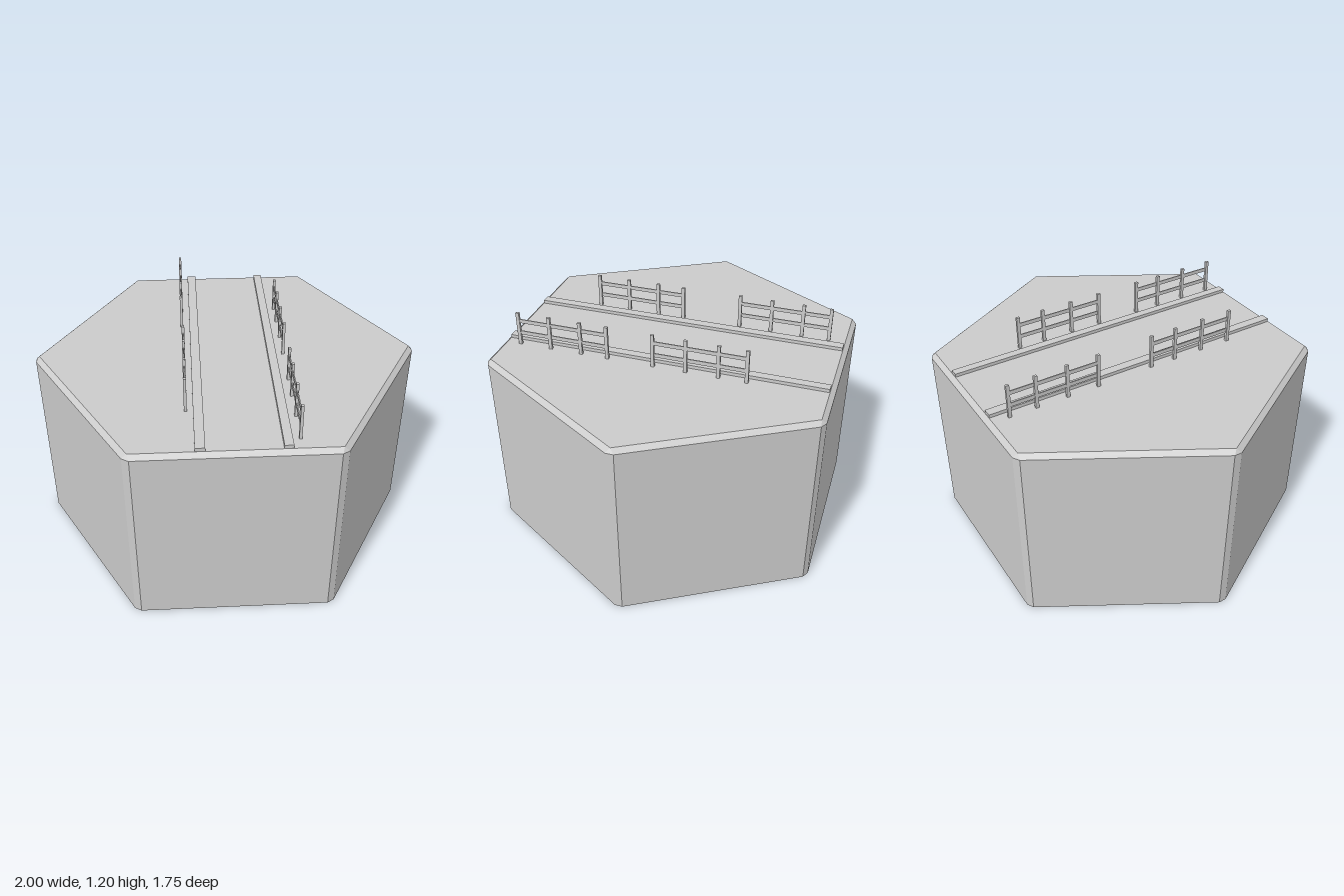
import * as THREE from 'three';

const material = new THREE.MeshStandardMaterial({ color: 0xcccccc, flatShading: true });

// Hexagonal ring of 12 points; spread is half the width of each cut corner
function hexRing(radius, spread, y) {
  const points = [];
  for (let i = 0; i < 6; i++) {
    const a = (i * Math.PI) / 3, c = Math.cos(a), s = Math.sin(a);
    for (const t of [-spread, spread]) {
      points.push([radius * c - t * s, y, radius * s + t * c]);
    }
  }
  return points;
}

// Skin between stacked rings, capped at both ends
function loft(rings) {
  const pos = [], n = rings[0].length;
  const tri = (a, b, c) => pos.push(...a, ...b, ...c);
  const last = rings[rings.length - 1];
  for (let i = 0; i < n; i++) {
    const j = (i + 1) % n;
    for (let k = 0; k < rings.length - 1; k++) {
      const lo = rings[k], hi = rings[k + 1];
      tri(lo[i], hi[i], lo[j]);
      if (hi[i].some((v, m) => Math.abs(v - hi[j][m]) > 1e-6)) tri(lo[j], hi[i], hi[j]);
    }
    tri([0, rings[0][0][1], 0], rings[0][i], rings[0][j]);
    if (last[i].some((v, m) => Math.abs(v - last[j][m]) > 1e-6)) {
      tri([0, last[0][1], 0], last[j], last[i]);
    }
  }
  const geometry = new THREE.BufferGeometry();
  geometry.setAttribute('position', new THREE.Float32BufferAttribute(pos, 3));
  geometry.computeVertexNormals();
  return geometry;
}

function box(name, w, h, d, x, y, z) {
  const mesh = new THREE.Mesh(new THREE.BoxGeometry(w, h, d), material);
  mesh.name = name;
  mesh.position.set(x, y, z);
  return mesh;
}

// Four posts joined by two rails, running along z
function fence(x, start) {
  const group = new THREE.Group();
  group.name = 'fence';
  const offsets = [0, 0.145, 0.315, 0.488], length = offsets[3];
  for (const o of offsets) {
    group.add(box('fencePost', 0.014, 0.19, 0.018, x, 1.1, start + o));
  }
  for (const y of [1.08, 1.148]) {
    group.add(box('fenceRail', 0.006, 0.021, length, x, y, start + length / 2));
  }
  return group;
}

export function createModel() {
  const model = new THREE.Group();
  model.name = 'hexTile';

  // Hexagonal block with cut corners and a bevelled top rim
  const block = new THREE.Mesh(
    loft([hexRing(1, 0.02, 0), hexRing(1, 0.02, 0.99), hexRing(0.983, 0, 1.012)]),
    material
  );
  block.name = 'hexBlock';
  model.add(block);

  // Kerbs along both sides of the road
  for (const [x, w] of [[-0.163, 0.048], [0.24, 0.044]]) {
    model.add(box('kerb', w, 0.03, 1.7, x, 1.015, 0));
  }

  // Fences on the outer side of each kerb
  model.add(fence(-0.229, -0.763), fence(-0.223, 0.043));
  model.add(fence(0.3, -0.447), fence(0.3, 0.287));
  return model;
}
